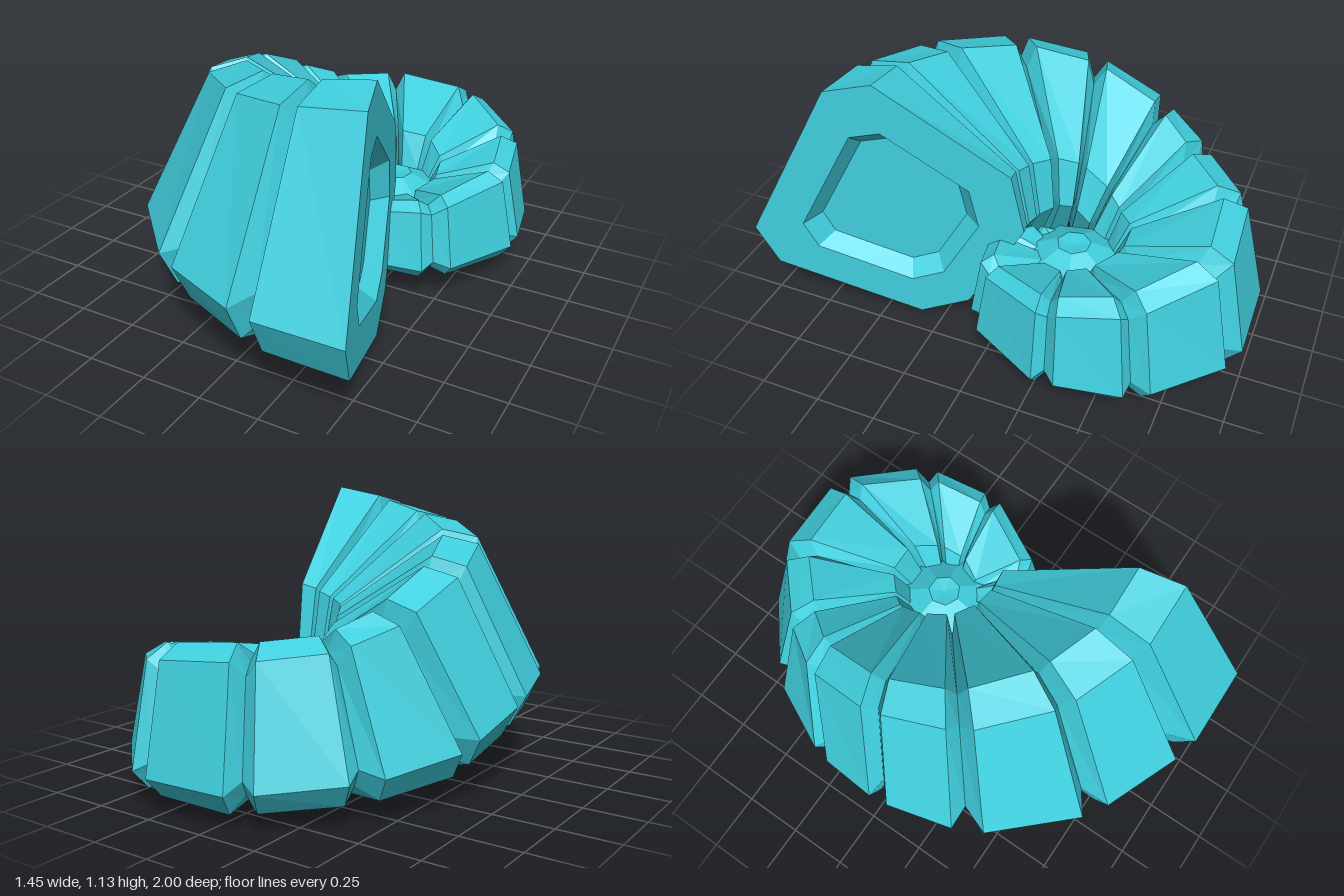
import * as THREE from 'three';

// Chamfered-square cross-section of the tube: [radial, up], counter-clockwise
const SECTION = [
  [0.23, 0.58], [0.04, 0.62], [-0.48, 0.23], [-0.53, -0.04],
  [-0.29, -0.44], [-0.08, -0.52], [0.52, -0.29], [0.6, -0.11],
];
const CENTRE = { x: 0.22, z: -0.26 };
const MOUTH_RADIUS = 1.31;

// Both ends of each rib, from the mouth inwards: [turn in degrees, outer radius, centre height]
const RIBS = [
  [[-16.5, 1.31, 0.52], [-0.4, 1.26, 0.515]],
  [[4.8, 1.235, 0.51], [21.3, 1.18, 0.505]],
  [[27, 1.167, 0.505], [47.6, 1.1, 0.5]],
  [[54.5, 1.07, 0.5], [70.6, 1.0, 0.478]],
  [[75.8, 0.98, 0.458], [91.9, 0.92, 0.392]],
  [[97.7, 0.9, 0.362], [117.5, 0.845, 0.332]],
  [[125.6, 0.82, 0.322], [148.3, 0.8, 0.315]],
  [[156, 0.8, 0.312], [183, 0.74, 0.31]],
  [[192, 0.716, 0.305], [220, 0.617, 0.297]],
  [[229.8, 0.59, 0.292], [256.5, 0.517, 0.285]],
  [[266.6, 0.505, 0.28], [307.6, 0.44, 0.272]],
  [[323.7, 0.42, 0.262], [350, 0.38, 0.26]],
  [[360, 0.35, 0.26], [385, 0.3, 0.26]],
  [[397, 0.27, 0.26], [425, 0.22, 0.26]],
];

// Smooth bump around the turn where the tube descends
const descent = (turn, width) => Math.exp(-(((turn - 95) / width) ** 2));

// One section placed on the spiral, shrunk by `scale` and pushed along the tube by `push`
function makeRing([turn, radius, height], scale = 1, push = 0) {
  const a = THREE.MathUtils.degToRad(turn);
  // The tube rolls upright inwards, and leans and slims where it descends
  const roll = 0.3 * THREE.MathUtils.smoothstep(turn, 20, 200);
  const lean = 0.3 * descent(turn, 24);
  const size = (radius / MOUTH_RADIUS) * (1 - 0.07 * descent(turn, 80));
  const rolled = SECTION.map(([r, y]) => [
    size * (r * Math.cos(roll) + y * Math.sin(roll)),
    size * (y * Math.cos(roll) - r * Math.sin(roll)),
  ]);
  const middle = radius - Math.max(...rolled.map(([r]) => r));
  return rolled.map(([r, y]) => {
    const out = middle + r * scale;
    const along = push + lean * y * scale;
    return new THREE.Vector3(
      CENTRE.x - Math.sin(a) * out - Math.cos(a) * along,
      height + y * scale,
      CENTRE.z + Math.cos(a) * out - Math.sin(a) * along,
    );
  });
}

// Faceted skin through a list of rings
function loft(rings) {
  const points = [];
  const n = SECTION.length;
  for (let i = 0; i + 1 < rings.length; i++) {
    for (let j = 0; j < n; j++) {
      const k = (j + 1) % n;
      const [a, b, c, d] = [rings[i][j], rings[i][k], rings[i + 1][k], rings[i + 1][j]];
      if (a.distanceTo(b) > 1e-5) points.push(a, b, c);
      if (c.distanceTo(d) > 1e-5) points.push(a, c, d);
    }
  }
  const geometry = new THREE.BufferGeometry().setFromPoints(points);
  geometry.computeVertexNormals();
  return geometry;
}

export function createModel() {
  const model = new THREE.Group();
  model.name = 'spiralShell';
  const turquoise = new THREE.MeshStandardMaterial({ color: 0x40cfde, flatShading: true });
  turquoise.name = 'turquoise';

  function add(name, geometry) {
    const mesh = new THREE.Mesh(geometry, turquoise);
    mesh.name = name;
    model.add(mesh);
    return mesh;
  }

  // Groove between two ribs: a narrower section halfway
  const grooves = RIBS.slice(1).map((rib, i) => {
    const before = RIBS[i][1];
    return makeRing(before.map((v, k) => (v + rib[0][k]) / 2), 0.79);
  });

  // Ribs, each with the groove walls on both sides
  RIBS.forEach(([start, end], i) => {
    const rings = [makeRing(start), makeRing(end)];
    if (i > 0) rings.unshift(grooves[i - 1]);
    if (i < grooves.length) rings.push(grooves[i]);
    add(`rib${i + 1}`, loft(rings));
  });

  // Mouth: recessed floor, inner wall and flat lip
  const mouth = RIBS[0][0];
  add('mouthFloor', loft([makeRing(mouth, 0, 0.07), makeRing(mouth, 0.54, 0.07)]));
  add('mouthWall', loft([makeRing(mouth, 0.54, 0.07), makeRing(mouth, 0.65)]));
  add('mouthLip', loft([makeRing(mouth, 0.65), makeRing(mouth)]));

  // Closed inner end of the coil
  const tip = RIBS[RIBS.length - 1][1];
  add('innerTip', loft([makeRing(tip), makeRing(tip, 0)]));

  // Faceted core that fills the middle of the coil
  const profile = [[0, 0.15], [0.1, 0.16], [0.2, 0.24], [0.19, 0.36], [0.07, 0.42], [0, 0.41]];
  const core = add('core', new THREE.LatheGeometry(profile.map(([r, y]) => new THREE.Vector2(r, y)), 7));
  core.position.set(CENTRE.x - 0.03, 0, CENTRE.z);
  return model;
}
